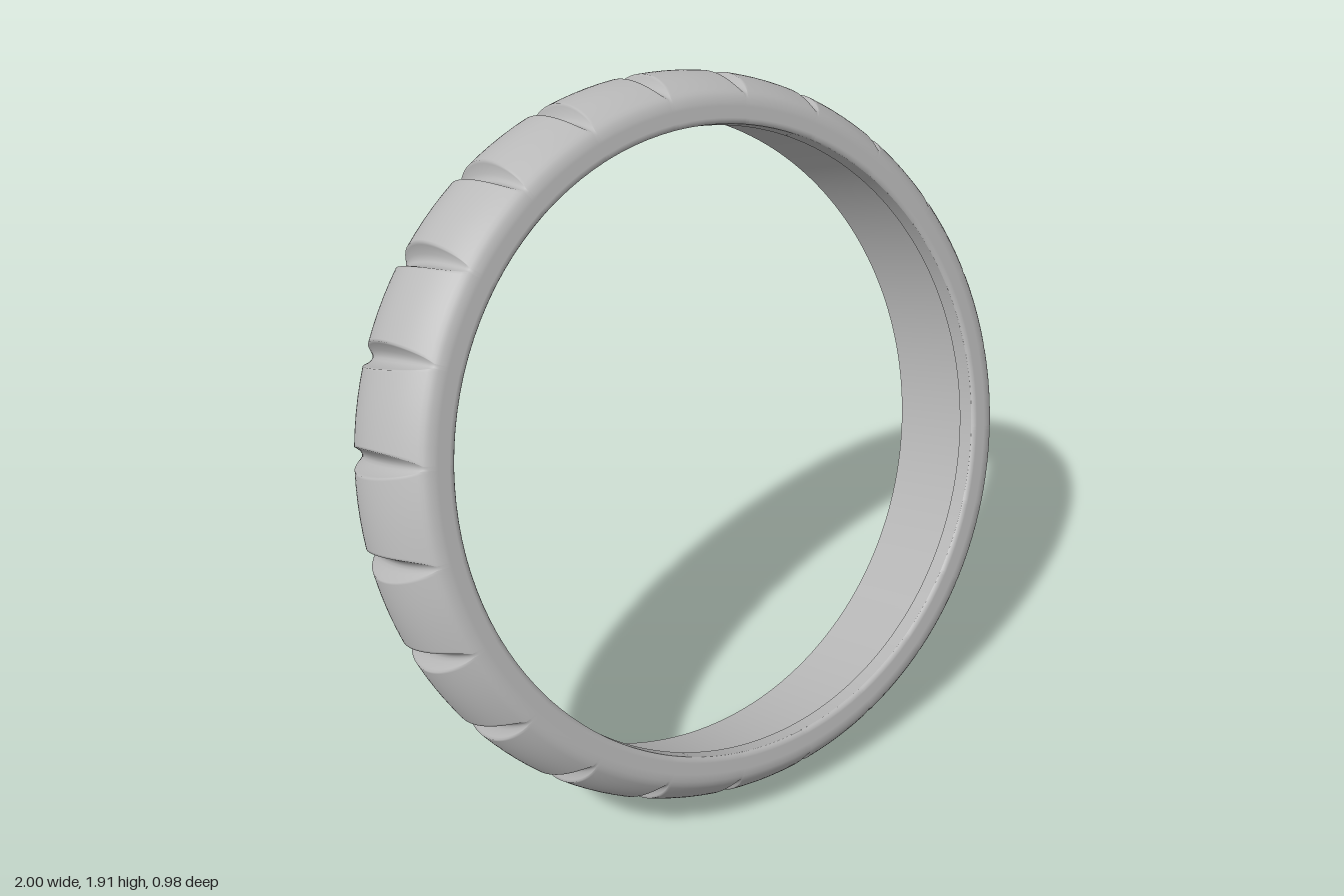
import * as THREE from 'three';

const GROOVES = 24, TILT = 20 * Math.PI / 180;
const HALF = 0.19;                 // half the width of the band
const ARC = 0.255, ARC_CENTRE = 0.745; // crowned tread section
const REACH = 0.182, DEPTH = 0.038, HALF_WIDTH = 0.034;

// Tread surface: crowned band with lens-shaped cross grooves and a rounded front rim
function treadGeometry() {
  const profile = []; // [axial, radius]
  const rows = 28, end = 0.172;
  for (let j = 0; j <= rows; j++) {
    const t = -HALF + (end + HALF) * j / rows;
    profile.push([t, ARC_CENTRE + Math.sqrt(ARC * ARC - t * t)]);
  }
  profile.push([0.181, 0.924], [0.187, 0.912], [0.19, 0.898], [0.19, 0.89],
    [0.19, 0.86], [0.19, 0.855], [0.187, 0.848], [0.182, 0.845]);

  // One pitch: u in -1..1 lies in the groove, then plain columns to the next groove
  const us = [-1, -0.9, -0.75, -0.5, -0.25, 0, 0.25, 0.5, 0.75, 0.9, 1];
  const plain = [0.03, 0.2, 0.4, 0.6, 0.8, 0.97];
  const pitch = Math.PI * 2 / GROOVES;
  const columns = GROOVES * (us.length + plain.length);
  const positions = [], index = [];

  profile.forEach(([t, r]) => {
    const k = Math.max(0, 1 - (t / REACH) ** 2);
    const w = Math.max(0.006, HALF_WIDTH * Math.sqrt(k));
    const add = (angle, depth) => {
      const radius = r - depth * Math.sqrt(1 - (t / ARC) ** 2);
      const axial = t - depth * t / ARC;
      positions.push(radius * Math.sin(angle), axial, radius * Math.cos(angle));
    };
    for (let g = 0; g < GROOVES; g++) {
      us.forEach(u => add(g * pitch + u * w, DEPTH * k * (1 - u * u)));
      plain.forEach(f => add(g * pitch + w + f * (pitch - 2 * w), 0));
    }
  });
  for (let j = 0; j < profile.length - 1; j++) {
    for (let i = 0; i < columns; i++) {
      const n = (i + 1) % columns;
      const a = j * columns + i, b = j * columns + n;
      index.push(a, b, b + columns, a, b + columns, a + columns);
    }
  }
  const geometry = new THREE.BufferGeometry();
  geometry.setAttribute('position', new THREE.Float32BufferAttribute(positions, 3));
  geometry.setIndex(index);
  geometry.computeVertexNormals();
  return geometry;
}

export function createModel() {
  const rubber = new THREE.MeshStandardMaterial({ color: 0xb8b8b8 });
  rubber.name = 'plain grey';

  const ring = new THREE.Group();
  ring.name = 'tyreRing';
  const add = (name, geometry) => {
    const mesh = new THREE.Mesh(geometry, rubber);
    mesh.name = name;
    ring.add(mesh);
  };
  add('groovedTread', treadGeometry());

  // Inside surfaces, each a separate band so the corners stay sharp
  const crown = ARC_CENTRE + Math.sqrt(ARC * ARC - HALF * HALF);
  const bands = {
    lipBore: [[0.845, 0.182], [0.845, 0.134]],
    lipStep: [[0.845, 0.134], [0.905, 0.134]],
    innerWall: [[0.905, 0.134], [0.905, -HALF]],
    backRim: [[0.905, -HALF], [crown, -HALF]],
  };
  for (const [name, points] of Object.entries(bands)) {
    add(name, new THREE.LatheGeometry(points.map(p => new THREE.Vector2(...p)), 192));
  }

  // Lean the ring backwards, resting on the ground
  ring.rotation.x = Math.PI / 2 - TILT;
  ring.position.y = ARC_CENTRE * Math.cos(TILT) + ARC;
  const model = new THREE.Group();
  model.name = 'leaningTyre';
  model.add(ring);
  return model;
}
